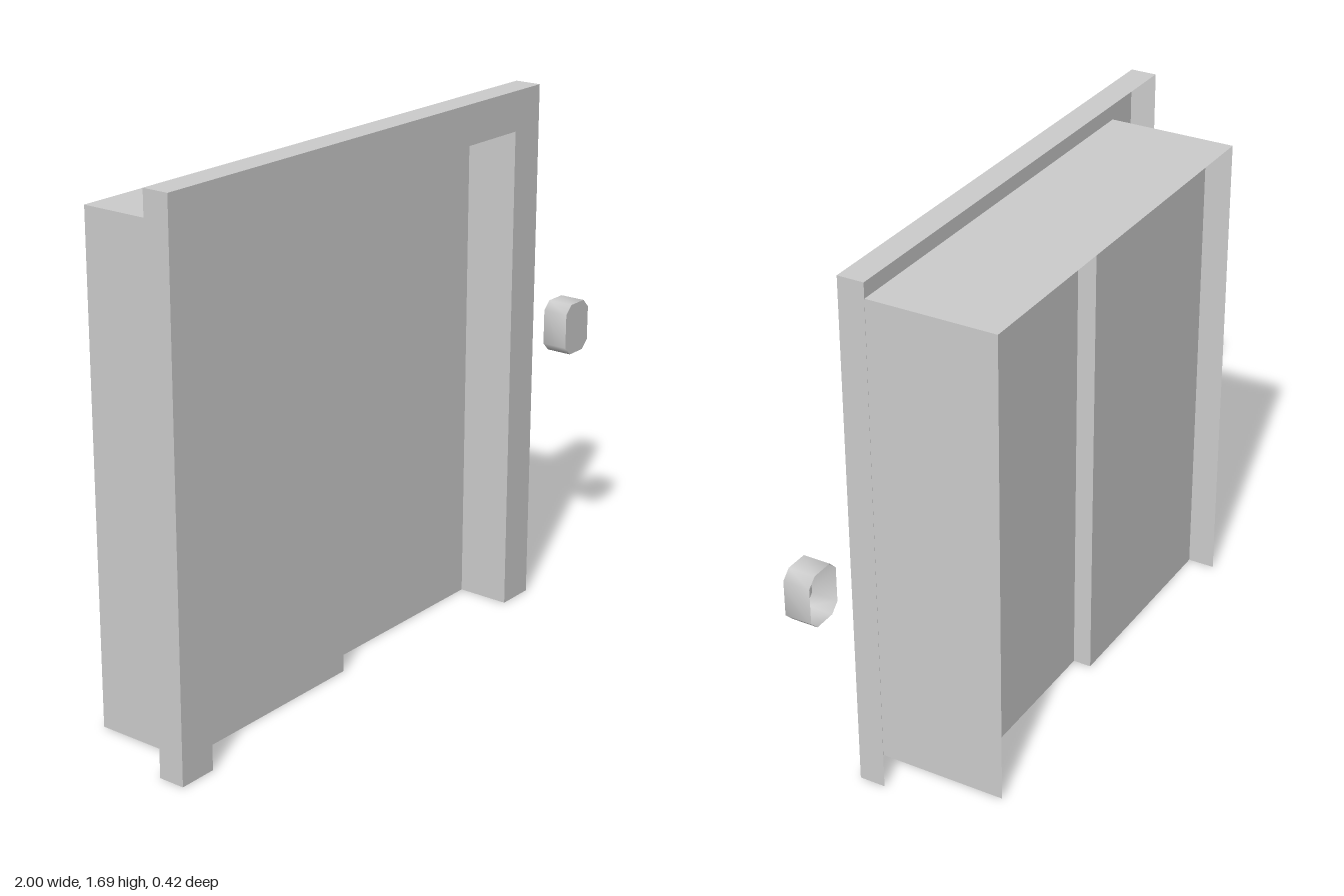
import * as THREE from 'three';
import { mergeVertices } from 'three/addons/utils/BufferGeometryUtils.js';

const material = new THREE.MeshStandardMaterial({ color: 0xcccccc, side: THREE.DoubleSide });

// Sheet swept from a path of 3D points along an offset; smooth shares the normals at corners
function ribbon(path, offset, smooth = false) {
  const pos = [];
  const shift = new THREE.Vector3(...offset);
  for (let i = 0; i < path.length - 1; i++) {
    const a = new THREE.Vector3(...path[i]);
    const b = new THREE.Vector3(...path[i + 1]);
    const c = b.clone().add(shift);
    const d = a.clone().add(shift);
    for (const p of [a, b, c, a, c, d]) pos.push(p.x, p.y, p.z);
  }
  let geometry = new THREE.BufferGeometry();
  geometry.setAttribute('position', new THREE.Float32BufferAttribute(pos, 3));
  if (smooth) geometry = mergeVertices(geometry);
  geometry.computeVertexNormals();
  return geometry;
}

// Flat face in the XY plane at depth z
function plate(points, z) {
  const shape = new THREE.Shape(points.map(([x, y]) => new THREE.Vector2(x, y)));
  return new THREE.ShapeGeometry(shape).translate(0, 0, z);
}

export function createModel() {
  const model = new THREE.Group();
  model.name = 'slidingDoorway';
  const add = (name, geometry, parent = model) => {
    const mesh = new THREE.Mesh(geometry, material);
    mesh.name = name;
    parent.add(mesh);
  };

  const front = 0.21, back = -0.21, frameBack = 0.125;
  const left = -0.875, right = 0.555, top = 1.562, middle = -0.16;
  const outer = [[-1, 0], [-1, 1.687], [0.68, 1.687], [0.68, 0]];
  const inner = [[left, 0], [left, top], [right, top], [right, 0]];

  // Door surround: front face, outer returns and the deep lining of the opening
  const frame = new THREE.Group();
  frame.name = 'doorFrame';
  model.add(frame);
  add('frameFace', plate([...outer, ...[...inner].reverse()], front), frame);
  add('frameReturns', ribbon(outer.map(([x, y]) => [x, y, frameBack]), [0, 0, front - frameBack]), frame);
  add('openingLining', ribbon(inner.map(([x, y]) => [x, y, back]), [0, 0, front - back]), frame);

  // Two overlapping door leaves, each side a stepped skin open at the bottom
  const skin = (zLeft, zRight) => ribbon(
    [[left, 0, zLeft], [middle, 0, zLeft], [middle, 0, zRight], [right, 0, zRight]], [0, top, 0]);
  add('doorLeavesFront', skin(0.11, 0.04));
  add('doorLeavesBack', skin(-0.12, -0.06));

  // Call button: chamfered outline, softly shaded rim, open at the back
  const button = new THREE.Group();
  button.name = 'callButton';
  model.add(button);
  const w = 0.064, h = 0.084, c = 0.028, cx = 0.936, cy = 0.844;
  const outline = [
    [w, -h + c], [w, h - c], [w - c, h], [-w + c, h],
    [-w, h - c], [-w, -h + c], [-w + c, -h], [w - c, -h],
  ].map(([x, y]) => [cx + x, cy + y]);
  add('buttonFace', plate(outline, front), button);
  add('buttonRim', ribbon([...outline, outline[0]].map(([x, y]) => [x, y, frameBack]),
    [0, 0, front - frameBack], true), button);

  return model;
}
